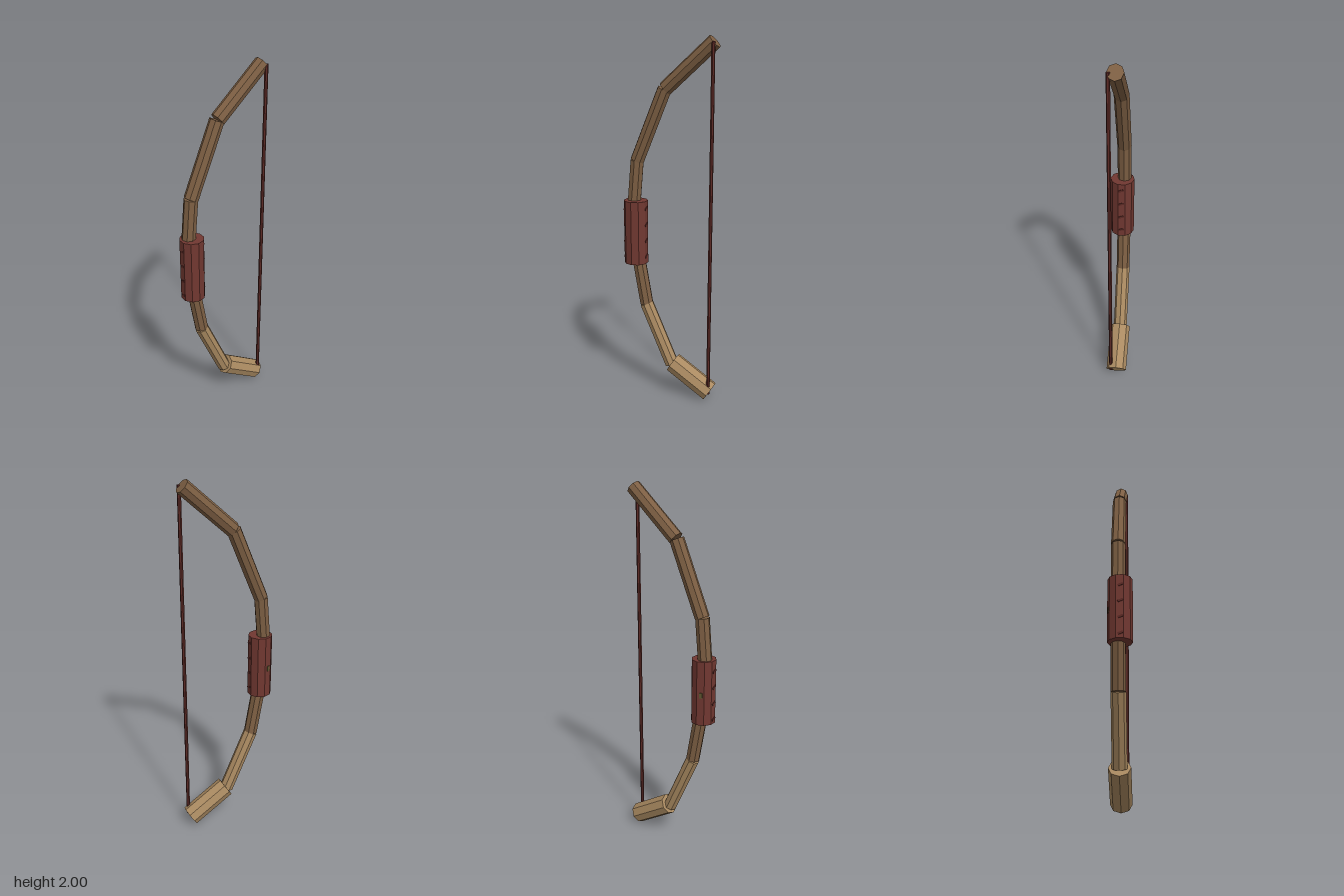
import * as THREE from 'three';

const material = (name, color) => {
  const m = new THREE.MeshStandardMaterial({ color, flatShading: true });
  m.name = name;
  return m;
};

// Straight faceted rod between two points
function rod(name, mat, a, b, radius, sides) {
  const from = new THREE.Vector3(...a), to = new THREE.Vector3(...b);
  const axis = to.clone().sub(from);
  const mesh = new THREE.Mesh(new THREE.CylinderGeometry(radius, radius, axis.length(), sides), mat);
  mesh.name = name;
  mesh.position.copy(from).add(to).multiplyScalar(0.5);
  mesh.quaternion.setFromUnitVectors(new THREE.Vector3(0, 1, 0), axis.normalize());
  return mesh;
}

export function createModel() {
  const wood = material('brown wood', 0x7d5f43);
  const paleWood = material('pale wood', 0xaa8a61);
  const leather = material('red leather', 0x713831);
  const cord = material('dark red cord', 0x5c2a25);
  const olive = material('olive', 0x5f5630);

  const bow = new THREE.Group();
  bow.name = 'bow';

  // Limb pieces from the upper tip to the lower tip
  const z = -0.01;
  const limbs = [
    ['upperTip', wood, [-0.03, 1.73], [0.236, 1.968], 0.04],
    ['upperLimb', wood, [-0.035, 1.728], [-0.195, 1.345], 0.039],
    ['upperRiser', wood, [-0.196, 1.345], [-0.222, 1.05], 0.038],
    ['lowerRiser', wood, [-0.205, 0.86], [-0.147, 0.53], 0.038],
    ['lowerLimb', paleWood, [-0.147, 0.528], [0.007, 0.182], 0.039],
    ['lowerTip', paleWood, [0.014, 0.19], [0.237, 0.05], 0.058],
  ];
  for (const [name, mat, a, b, r] of limbs) bow.add(rod(name, mat, [...a, z], [...b, z], r, 8));

  // Wrapped grip
  const gx = -0.203;
  bow.add(rod('grip', leather, [gx, 0.77, 0], [gx, 1.125, 0], 0.066, 10));

  // Small lacing stitches showing through both sides of the grip
  const stitches = new THREE.Group();
  stitches.name = 'gripStitches';
  for (const side of [-1, 1]) {
    for (let i = 0; i < 4; i++) {
      const stitch = new THREE.Mesh(new THREE.BoxGeometry(0.006, 0.012, 0.03), cord);
      stitch.name = 'stitch';
      stitch.position.set(gx + side * 0.063, 0.805 + i * 0.09 + side * 0.008, 0.004);
      stitch.rotation.x = side * 0.4;
      stitches.add(stitch);
    }
  }
  bow.add(stitches);

  // Tiny knot on the back of the grip
  const knot = new THREE.Mesh(new THREE.BoxGeometry(0.016, 0.03, 0.006), olive);
  knot.name = 'gripKnot';
  knot.position.set(gx - 0.022, 0.94, -0.059);
  knot.rotation.y = Math.PI / 10;
  bow.add(knot);

  // Bowstring
  bow.add(rod('string', cord, [0.238, 0.05, 0.022], [0.238, 1.968, 0.022], 0.01, 6));

  return bow;
}
